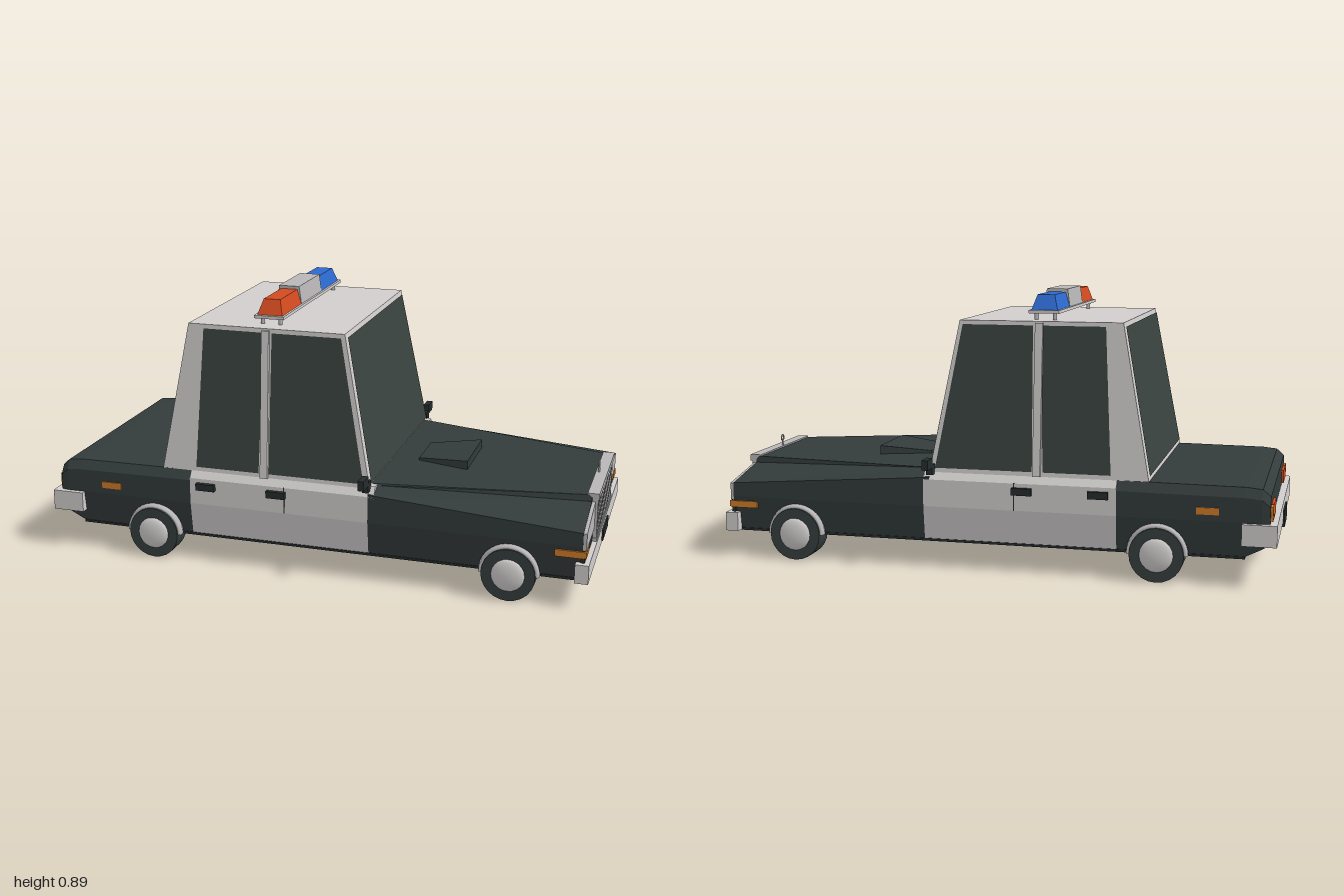
import * as THREE from 'three';

const mat = (name, color, side = THREE.FrontSide) => {
  const m = new THREE.MeshStandardMaterial({ color, side });
  m.name = name;
  return m;
};

export function createModel() {
  const M = {
    body: mat('bodyDark', 0x333b3b),
    glass: mat('tintedGlass', 0x3a4341, THREE.DoubleSide),
    white: mat('whitePaint', 0xd2cece),
    chrome: mat('chrome', 0xb9b7b7),
    tyre: mat('tyre', 0x363f3e),
    trim: mat('blackTrim', 0x262c2c),
    red: mat('redLight', 0xd24a20),
    blue: mat('blueLight', 0x2d69cf),
    orange: mat('orangeLight', 0xd07c28),
  };

  // The car is built along +x, with its sides on z, then turned as a whole.
  const car = new THREE.Group();
  car.name = 'car';

  const add = (name, geo, material, x = 0, y = 0, z = 0) => {
    const m = new THREE.Mesh(geo, material);
    m.name = name;
    m.position.set(x, y, z);
    car.add(m);
    return m;
  };
  // Box given by its limits
  const box = (name, material, x0, x1, y0, y1, z0, z1) =>
    add(name, new THREE.BoxGeometry(x1 - x0, y1 - y0, Math.abs(z1 - z0)), material,
      (x0 + x1) / 2, (y0 + y1) / 2, (z0 + z1) / 2);

  const flat = (tris) => {
    const g = new THREE.BufferGeometry();
    g.setAttribute('position', new THREE.Float32BufferAttribute(tris.flat(), 3));
    g.computeVertexNormals();
    return g;
  };
  // Loft of mirrored sections: [x, [[z, y], ...]] from the sill up to the middle
  const loft = (sections) => {
    const loops = sections.map(([x, half]) => [
      ...half.map(([z, y]) => [x, y, z]),
      ...half.map(([z, y]) => [x, y, -z]).reverse(),
    ]);
    const n = loops[0].length, t = [];
    for (let s = 0; s + 1 < loops.length; s++) {
      for (let i = 0; i < n; i++) {
        const j = (i + 1) % n, A = loops[s], B = loops[s + 1];
        t.push(A[i], B[i], B[j], A[i], B[j], A[j]);
      }
    }
    const first = loops[0], last = loops[loops.length - 1];
    for (let i = 1; i + 1 < n; i++) {
      t.push(first[0], first[i], first[i + 1], last[0], last[i + 1], last[i]);
    }
    return flat(t);
  };
  const pane = (name, material, a, b, c, d) => add(name, flat([a, b, c, a, c, d]), material);

  // Body: tail, door section, front wings with raised bonnet
  const side = (bottom, top) => [[0.385, bottom], [0.4, 0.2], [0.4, top - 0.03], [0.38, top]];
  add('tail', loft([
    [-0.885, [[0.385, 0.13], [0.395, 0.2], [0.395, 0.25], [0.375, 0.28]]],
    [-0.86, side(0.115, 0.302)],
    [-0.81, side(0.09, 0.307)],
    [-0.41, side(0.09, 0.31)],
  ]), M.body);
  add('doorSection', loft([[-0.41, side(0.09, 0.318)], [0.22, side(0.09, 0.318)]]), M.white);
  add('frontWingsAndBonnet', loft([
    [0.2, [[0.385, 0.09], [0.4, 0.2], [0.4, 0.295], [0.36, 0.315], [0.355, 0.319]]],
    [0.885, [[0.385, 0.09], [0.4, 0.2], [0.4, 0.245], [0.215, 0.282], [0.21, 0.303]]],
  ]), M.body);
  box('underside', M.trim, -0.81, 0.87, 0.083, 0.091, -0.388, 0.388);

  // Bonnet scoop
  add('bonnetScoop', loft([
    [0.29, [[0.085, 0.3], [0.083, 0.325]]],
    [0.463, [[0.122, 0.3], [0.12, 0.342]]],
  ]), M.body);

  // Cabin shell, narrowing to the roof
  const Y0 = 0.31, Y1 = 0.8;
  const rearX = (y) => -0.51 + (0.091 * (y - Y0)) / (Y1 - Y0);
  const frontX = (y) => 0.203 - (0.094 * (y - Y0)) / (Y1 - Y0);
  const wallZ = (y) => 0.385 - (0.038 * (y - Y0)) / (Y1 - Y0);
  const corner = (x, y, z) => [x, y, z];
  const b = [[rearX(Y0), Y0, 1], [frontX(Y0), Y0, 1], [frontX(Y0), Y0, -1], [rearX(Y0), Y0, -1]]
    .map(([x, y, s]) => corner(x, y, s * wallZ(y)));
  const r = [[rearX(Y1), Y1, 1], [frontX(Y1), Y1, 1], [frontX(Y1), Y1, -1], [rearX(Y1), Y1, -1]]
    .map(([x, y, s]) => corner(x, y, s * wallZ(y)));
  const shell = [r[0], r[1], r[2], r[0], r[2], r[3]];
  for (let i = 0; i < 4; i++) {
    const j = (i + 1) % 4;
    shell.push(b[i], b[j], r[j], b[i], r[j], r[i]);
  }
  add('cabinShell', flat(shell), M.white);

  // Windscreen and rear window
  const lo = 0.325, hi = 0.787, e = 0.004;
  for (const [name, fx, off] of [['windscreen', frontX, e], ['rearWindow', rearX, -e]]) {
    const p = (y, s) => [fx(y) + off, y, s * (wallZ(y) - 0.014)];
    pane(name, M.glass, p(lo, 1), p(lo, -1), p(hi, -1), p(hi, 1));
  }

  for (const s of [1, -1]) {
    const tag = s > 0 ? 'Right' : 'Left';
    // Side windows and the pillar between them
    const sidePane = (name, m, x0, x1, x2, x3, out, y0 = lo, y1 = hi) => pane(name + tag, m,
      [x0, y0, s * (wallZ(y0) + out)], [x1, y0, s * (wallZ(y0) + out)],
      [x2, y1, s * (wallZ(y1) + out)], [x3, y1, s * (wallZ(y1) + out)]);
    sidePane('rearSideWindow', M.glass, -0.39, -0.172, -0.158, -0.365, e);
    sidePane('frontSideWindow', M.glass, -0.137, 0.183, 0.098, -0.132, e);
    const pillar = box('doorPillar' + tag, M.white, -0.165, -0.14, 0.31, 0.795, s * 0.355, s * 0.378);
    pillar.rotation.x = -s * 0.077;

    // Doors
    box('doorSeam' + tag, M.trim, -0.083, -0.08, 0.2, 0.29, s * 0.398, s * 0.401);
    for (const x of [-0.385, -0.14]) {
      box('doorHandle' + tag, M.trim, x, x + 0.065, 0.252, 0.275, s * 0.395, s * 0.414);
    }
    box('mirror' + tag, M.trim, 0.185, 0.205, 0.328, 0.36, s * 0.405, s * 0.46);
    box('mirrorArm' + tag, M.trim, 0.185, 0.205, 0.305, 0.338, s * 0.375, s * 0.412);

    // Wheels with hubcaps and arch trims
    for (const x of [0.66, -0.54]) {
      const tyre = add('tyre' + tag, new THREE.CylinderGeometry(0.086, 0.086, 0.075, 24), M.tyre, x, 0.086, s * 0.382);
      tyre.rotation.x = Math.PI / 2;
      const hub = add('hubcap' + tag, new THREE.SphereGeometry(0.054, 20, 10), M.white, x, 0.086, s * 0.418);
      hub.scale.z = 0.3;
      const arch = add('wheelArch' + tag, new THREE.TorusGeometry(0.09, 0.008, 6, 20, Math.PI), M.chrome, x, 0.086, s * 0.4);
      arch.scale.z = 2;
    }

    // Headlamp panel, following the slope of the wing
    const lamp = new THREE.Shape([[0.21, 0.188], [0.398, 0.188], [0.398, 0.244], [0.21, 0.28]]
      .map(([z, y]) => new THREE.Vector2(-s * z, y)));
    const lampGeo = new THREE.ExtrudeGeometry(lamp, { depth: 0.012, bevelEnabled: false });
    lampGeo.rotateY(Math.PI / 2);
    add('headlamp' + tag, lampGeo, M.chrome, 0.884);
    box('lowerStrip' + tag, M.trim, 0.88, 0.892, 0.145, 0.19, s * 0.21, s * 0.398);

    // Indicators and side markers
    box('frontIndicator' + tag, M.orange, 0.88, 0.898, 0.165, 0.185, s * 0.34, s * 0.404);
    box('frontMarker' + tag, M.orange, 0.8, 0.89, 0.163, 0.185, s * 0.396, s * 0.404);
    box('rearMarker' + tag, M.orange, -0.73, -0.66, 0.22, 0.242, s * 0.396, s * 0.404);

    // Tail lamps
    box('tailLamp' + tag, M.red, -0.893, -0.88, 0.205, 0.25, s * 0.235, s * 0.335);
    box('tailIndicator' + tag, M.orange, -0.893, -0.88, 0.205, 0.25, s * 0.342, s * 0.385);

    // Rear bumper ends
    box('rearBumperEnd' + tag, M.white, -0.908, -0.8, 0.13, 0.198, s * 0.39, s * 0.416);
  }

  // Bumpers and number plates
  box('rearBumper', M.white, -0.908, -0.87, 0.13, 0.198, -0.416, 0.416);
  box('rearPlate', M.trim, -0.914, -0.9, 0.118, 0.175, -0.07, 0.07);
  box('frontBumper', M.white, 0.865, 0.908, 0.085, 0.147, -0.416, 0.416);
  box('frontPlate', M.trim, 0.9, 0.913, 0.094, 0.132, -0.07, 0.07);

  // Grille: dark back, light frame and upright bars
  box('grilleBack', M.trim, 0.87, 0.893, 0.14, 0.3, -0.205, 0.205);
  box('grilleTop', M.chrome, 0.87, 0.908, 0.287, 0.308, -0.212, 0.212);
  box('grilleBottom', M.chrome, 0.87, 0.906, 0.142, 0.158, -0.212, 0.212);
  for (let i = 0; i <= 16; i++) {
    const z = -0.2 + i * 0.025;
    box('grilleBar', M.chrome, 0.88, 0.904, 0.15, 0.295, z - 0.008, z + 0.008);
  }
  // Bonnet ornament
  add('ornamentStem', new THREE.CylinderGeometry(0.003, 0.004, 0.02, 8), M.chrome, 0.88, 0.316, 0);
  const ring = add('ornamentRing', new THREE.TorusGeometry(0.01, 0.0025, 6, 16), M.chrome, 0.88, 0.335, 0);
  ring.rotation.y = Math.PI / 2;

  // Roof light bar: feet, base plate and three tapered lamps
  const barX = -0.157;
  for (const z of [-0.28, 0.28]) {
    for (const x of [-0.03, 0.03]) {
      add('lightBarFoot', new THREE.CylinderGeometry(0.007, 0.007, 0.03, 8), M.chrome, barX + x, 0.812, z);
    }
  }
  box('lightBarBase', M.white, barX - 0.05, barX + 0.05, 0.822, 0.832, -0.31, 0.31);
  const lamp = (name, m, z0, z1, t0, t1, top, inset) => {
    const lower = [[-0.043, z0], [-0.043, z1], [0.043, z1], [0.043, z0]].map(([x, z]) => [x, 0.83, z]);
    const k = 0.043 - inset;
    const upper = [[-k, t0], [-k, t1], [k, t1], [k, t0]].map(([x, z]) => [x, top, z]);
    const t = [upper[0], upper[1], upper[2], upper[0], upper[2], upper[3]];
    for (let i = 0; i < 4; i++) {
      const j = (i + 1) % 4;
      t.push(lower[i], lower[j], upper[j], lower[i], upper[j], upper[i]);
    }
    add(name, flat(t), m, barX);
  };
  lamp('redLamp', M.red, 0.105, 0.3, 0.105, 0.275, 0.88, 0.015);
  lamp('blueLamp', M.blue, -0.3, -0.105, -0.275, -0.105, 0.88, 0.015);
  lamp('centreLamp', M.chrome, -0.108, 0.108, -0.108, 0.108, 0.89, 0.008);

  car.rotation.y = -THREE.MathUtils.degToRad(24.7);
  const model = new THREE.Group();
  model.name = 'patrolCar';
  model.add(car);
  return model;
}
